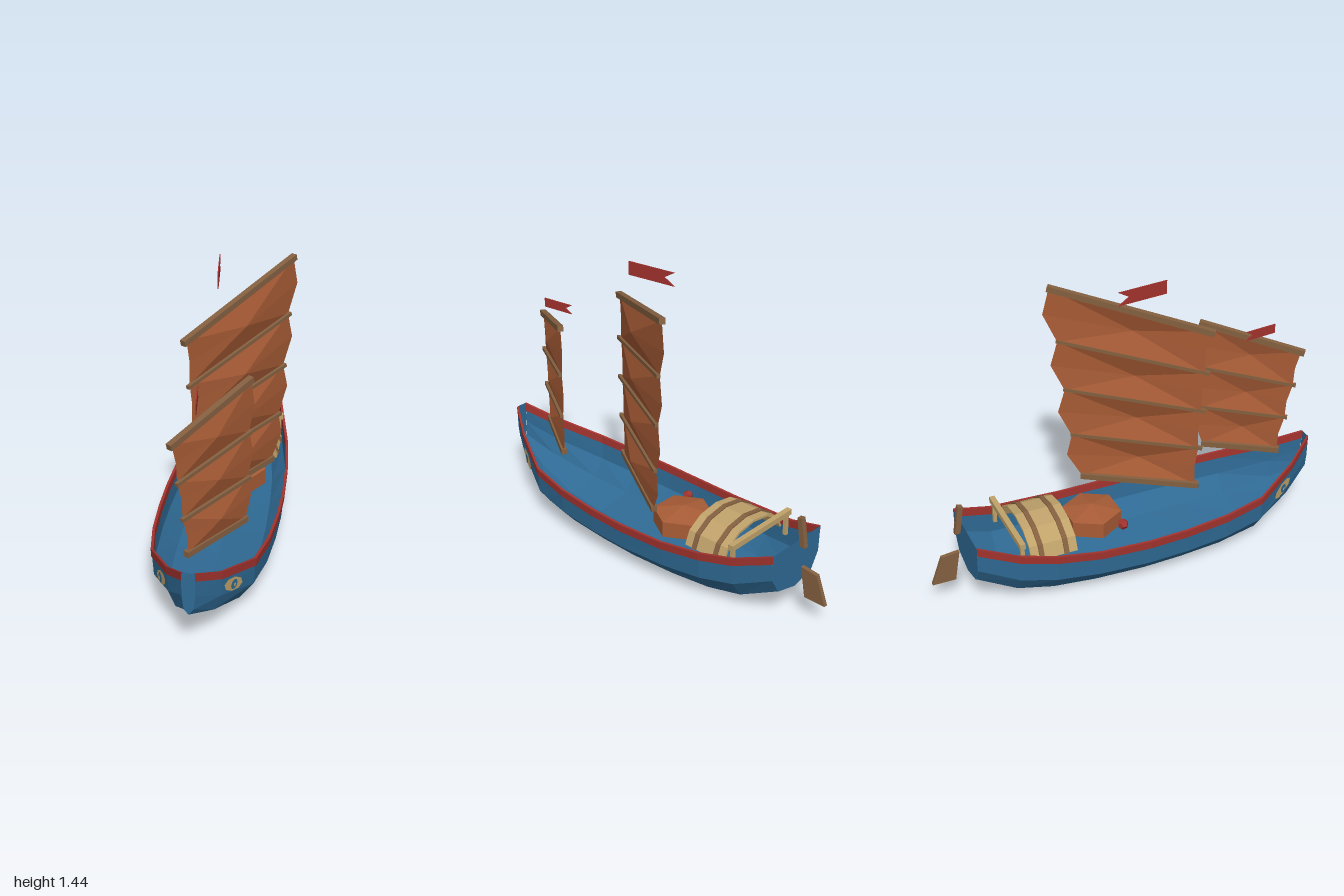
import * as THREE from 'three';

const paint = (name, color) => {
  const m = new THREE.MeshStandardMaterial({ color, flatShading: true, side: THREE.DoubleSide });
  m.name = name;
  return m;
};
const V = (x, y, z) => new THREE.Vector3(x, y, z);
const MID = -0.005; // centreline of the boat

// hull stations from bow to stern: z, half width, sheer height, keel height
const STATIONS = [
  [1, 0.03, 0.43, 0.22], [0.86, 0.12, 0.357, 0.125], [0.63, 0.235, 0.285, 0.035],
  [0.42, 0.27, 0.262, 0.012], [0.2, 0.285, 0.25, 0.004], [0, 0.288, 0.246, 0],
  [-0.25, 0.277, 0.252, 0.005], [-0.46, 0.255, 0.275, 0.015], [-0.63, 0.22, 0.305, 0.04],
  [-0.82, 0.175, 0.375, 0.135],
];
const STRAKE = 0.04;

function triangles(points) {
  const g = new THREE.BufferGeometry().setFromPoints(points);
  g.computeVertexNormals();
  return g;
}

// skin over rows of points
function loft(rows) {
  const out = [];
  for (let i = 0; i < rows.length - 1; i++) {
    for (let j = 0; j < rows[i].length - 1; j++) {
      const a = rows[i][j], b = rows[i][j + 1], c = rows[i + 1][j + 1], d = rows[i + 1][j];
      out.push(a, c, b, a, d, c);
    }
  }
  return triangles(out);
}

// fan of triangles from a centre to a closed ring
function fan(centre, ring) {
  return ring.flatMap((p, i) => [centre, p, ring[(i + 1) % ring.length]]);
}

// section of the hull from one rim round the keel to the other
function section([z, w, top, keel], drop) {
  const h = top - keel;
  const half = [[w - drop * 0.05, top - drop], [w * 0.965, keel + h * 0.46], [w * 0.7, keel + h * 0.13]];
  return [
    ...half.map(([x, y]) => V(MID - x, y, z)), V(MID, keel, z),
    ...half.reverse().map(([x, y]) => V(MID + x, y, z)),
  ];
}

export function createModel() {
  const blue = paint('hull blue', 0x2f6a94);
  const red = paint('trim red', 0xa3332e);
  const rust = paint('sail rust', 0xa85c36);
  const wood = paint('spar wood', 0x846040);
  const tan = paint('pale cane', 0xc0a26a);

  const model = new THREE.Group();
  const add = (name, geo, mat, parent = model) => {
    const m = new THREE.Mesh(geo, mat);
    m.name = name;
    parent.add(m);
    return m;
  };
  const group = (name) => {
    const g = new THREE.Group();
    g.name = name;
    model.add(g);
    return g;
  };
  const box = (name, w, h, d, x, y, z, mat, parent) =>
    add(name, new THREE.BoxGeometry(w, h, d), mat, parent).position.set(x, y, z);
  const spar = (name, a, b, w, h, parent) => {
    const m = add(name, new THREE.BoxGeometry(w, h, a.distanceTo(b)), wood, parent);
    m.position.copy(a).lerp(b, 0.5);
    m.lookAt(b);
  };
  // flat plate outlined in z and y
  const plate = (name, outline, thick, mat, parent) => {
    const shape = new THREE.Shape(outline.map(([z, y]) => new THREE.Vector2(-z, y)));
    const g = new THREE.ExtrudeGeometry(shape, { depth: thick, bevelEnabled: false });
    g.translate(0, 0, -thick / 2).rotateY(Math.PI / 2);
    const m = add(name, g, mat, parent);
    m.position.x = MID;
    return m;
  };

  // open hull with flat bow and stern plates
  const hull = group('hull');
  add('hullShell', loft(STATIONS.map((s) => section(s, STRAKE))), blue, hull);
  for (const [name, s] of [['bowPlate', STATIONS[0]], ['transom', STATIONS.at(-1)]]) {
    const end = [...s];
    end[0] += Math.sign(s[0]) * 0.002;
    add(name, triangles(fan(V(MID, (s[2] + s[3]) / 2, end[0]), section(end, 0))), blue, hull);
  }

  // red rim strakes and bow eyes on both sides
  for (const side of [1, -1]) {
    const rim = STATIONS.map(([z, w, top]) =>
      [[0.002, STRAKE], [0.004, 0], [-0.009, 0], [-0.01, STRAKE], [0.002, STRAKE]]
        .map(([dx, dy]) => V(MID + side * (w + dx), top - dy, z)));
    add('rimStrake', loft(rim), red, hull);

    const eye = new THREE.Group();
    eye.name = 'bowEye';
    eye.position.set(MID + side * 0.16, 0.25, 0.79);
    eye.rotation.set(0, side * (Math.PI / 2 - 0.48), 0);
    const white = add('eyePlate', new THREE.CircleGeometry(1, 8), tan, eye);
    white.scale.set(0.072, 0.033, 1);
    white.rotation.z = side * -0.4;
    const iris = add('eyeIris', new THREE.CircleGeometry(0.024, 8), blue, eye);
    iris.position.z = 0.004;
    const pupil = add('eyePupil', new THREE.CircleGeometry(0.009, 6), tan, eye);
    pupil.position.z = 0.007;
    hull.add(eye);
  }

  // battened sail: each spar is [luff z, luff y, leech z, leech y], lowest first
  function sail(name, x0, z0, slope, spars, belly, flare) {
    const g = group(name);
    const at = (z, y) => V(x0 + (z0 - z) * slope, y, z);
    const along = V(slope, 0, -1).normalize();
    const out = V(1, 0, slope).normalize();
    const ends = spars.map(([za, ya, zb, yb]) => [at(za, ya), at(zb, yb)]);
    const cloth = [];
    for (let i = 0; i < ends.length - 1; i++) {
      const edge = ([a, b]) => [0.03, 0.5, 0.99].map((t) => a.clone().lerp(b, t));
      const [bl, bm, br] = edge(ends[i]);
      const [tl, tm, tr] = edge(ends[i + 1]);
      const left = bl.clone().lerp(tl, 0.5).addScaledVector(along, 0.01);
      const right = br.clone().lerp(tr, 0.5).addScaledVector(along, flare);
      const centre = bm.clone().lerp(tm, 0.5).addScaledVector(out, belly);
      cloth.push(...fan(centre, [bl, bm, br, right, tr, tm, tl, left]));
    }
    add('sailCloth', triangles(cloth), rust, g);
    ends.forEach(([a, b], i) => {
      const end = i === 0 || i === ends.length - 1;
      const lift = out.clone().multiplyScalar(end ? 0 : 0.008);
      const size = end ? 0.028 : 0.017;
      spar(end ? 'yard' : 'batten', a.clone().add(lift), b.clone().add(lift), size, size, g);
    });
  }
  sail('mainSail', -0.1, 0.345, 0.622, [
    [0.345, 0.355, -0.15, 0.36], [0.355, 0.563, -0.19, 0.59], [0.365, 0.77, -0.215, 0.84],
    [0.375, 0.975, -0.24, 1.097], [0.39, 1.19, -0.268, 1.37],
  ], 0.04, 0.05);
  sail('foreSail', -0.095, 0.9, 0.65, [
    [0.825, 0.403, 0.497, 0.405], [0.85, 0.59, 0.485, 0.613],
    [0.875, 0.775, 0.478, 0.838], [0.9, 0.96, 0.472, 1.085],
  ], 0.03, 0.03);

  // swallowtail pennants
  function pennant(name, z, y, length, height) {
    const h = height / 2;
    const m = plate(name, [[0, -h], [-length, -h], [-length * 0.78, 0], [-length, h], [0, h]], 0.005, red);
    m.position.set(MID, y, z);
    m.rotation.y = 0.12;
  }
  pennant('mainPennant', 0.2, 1.408, 0.255, 0.066);
  pennant('forePennant', 0.78, 1.077, 0.17, 0.046);

  // six-sided deck hatch with a low pointed lid
  const hatch = group('hatch');
  hatch.position.set(0.027, 0, -0.172);
  const base = add('hatchBase', new THREE.CylinderGeometry(0.146, 0.146, 0.08, 6), rust, hatch);
  const lid = add('hatchLid', new THREE.ConeGeometry(0.146, 0.03, 6, 1, true), rust, hatch);
  base.position.y = 0.24;
  lid.position.y = 0.295;
  base.rotation.y = lid.rotation.y = Math.PI / 6;

  // arched cane shelter with wooden hoops
  const shelter = group('shelter');
  const arch = (z, grow) => Array.from({ length: 7 }, (_, i) => {
    const a = (Math.PI * i) / 6;
    return V(MID + (0.213 + grow) * Math.cos(a), 0.25 + (0.132 + grow) * Math.sin(a), z);
  });
  const vault = (name, z1, z2, grow, mat) => add(name, loft([
    arch(z1, grow - 0.012), arch(z1, grow), arch(z2, grow), arch(z2, grow - 0.012), arch(z1, grow - 0.012),
  ]), mat, shelter);
  vault('caneRoof', -0.345, -0.575, 0, tan);
  for (const z of [-0.4, -0.522]) vault('hoop', z + 0.012, z - 0.012, 0.006, wood);

  // crossbar on two posts behind the shelter
  box('crossbar', 0.43, 0.028, 0.027, MID, 0.35, -0.615, tan, shelter);
  for (const side of [1, -1]) box('crossbarPost', 0.018, 0.11, 0.018, MID + side * 0.195, 0.285, -0.613, tan, shelter);

  // small red lantern
  add('lantern', new THREE.DodecahedronGeometry(0.027), red).position.set(-0.122, 0.255, -0.07);

  // rudder blade and stock
  plate('rudderBlade', [[-0.858, 0.26], [-0.885, 0.107], [-0.998, 0.107], [-0.945, 0.25]], 0.02, wood);
  plate('rudderStock', [[-0.825, 0.505], [-0.847, 0.365], [-0.873, 0.362], [-0.85, 0.51]], 0.026, wood);

  return model;
}
